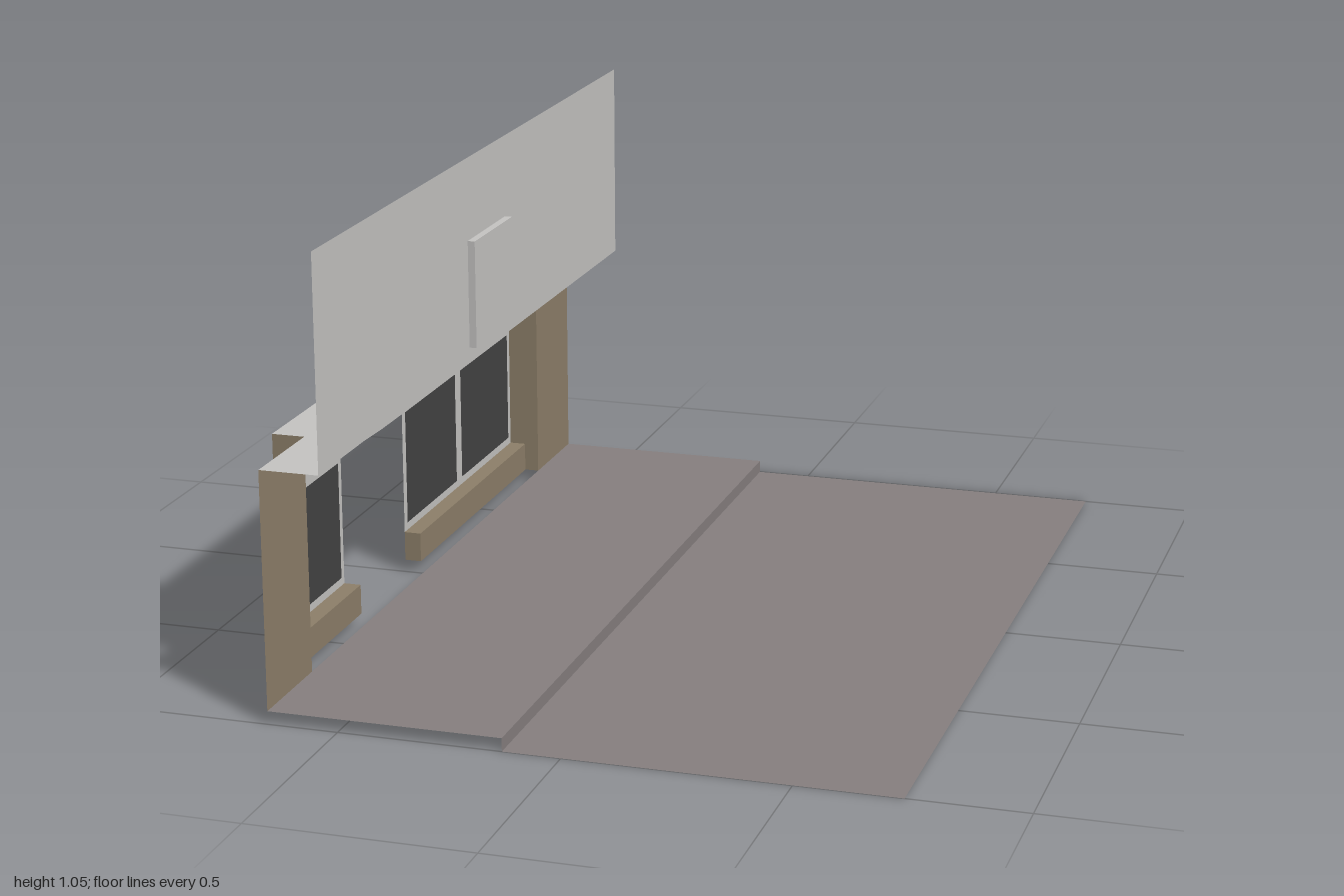
import * as THREE from 'three';

const flat = (name, color) => {
  const m = new THREE.MeshStandardMaterial({ color, side: THREE.DoubleSide });
  m.name = name;
  return m;
};

export function createModel() {
  const group = new THREE.Group();
  const plaster = flat('light grey plaster', 0xc6c5c3);
  const stone = flat('brown stone', 0x8e806a);
  const paving = flat('grey paving', 0x878080);
  const glass = flat('dark glass', 0x444444);

  // Main levels and planes
  const base = 0.03, eave = 0.57, top = 1.05;
  const bayX = -0.735, flankX = -0.66, upperX = -0.525, kerbX = -0.13, streetX = 0.735;
  const bayZ = 0.755;

  const add = (name, geometry, material) => {
    const mesh = new THREE.Mesh(geometry, material);
    mesh.name = name;
    group.add(mesh);
    return mesh;
  };
  const toShape = (pts) => new THREE.Shape(pts.map(([a, b]) => new THREE.Vector2(a, b)));
  const rect = (a0, a1, b0, b1) => [[a0, b0], [a1, b0], [a1, b1], [a0, b1]];

  // Sheet standing in the z-y plane at a given x
  const sideSheet = (name, pts, x, material, holes = []) => {
    const shape = toShape(pts);
    shape.holes = holes.map(toShape);
    const g = new THREE.ShapeGeometry(shape).rotateY(-Math.PI / 2).translate(x, 0, 0);
    return add(name, g, material);
  };
  // Sheet lying in the x-z plane at a given height, facing up
  const flatSheet = (name, pts, y, material) => {
    const g = new THREE.ShapeGeometry(toShape(pts.map(([x, z]) => [x, -z])));
    return add(name, g.rotateX(-Math.PI / 2).translate(0, y, 0), material);
  };
  const box = (name, x0, x1, y0, y1, z0, z1, material) => {
    const g = new THREE.BoxGeometry(x1 - x0, y1 - y0, z1 - z0);
    return add(name, g.translate((x0 + x1) / 2, (y0 + y1) / 2, (z0 + z1) / 2), material);
  };

  // Ground: raised pavement, kerb and lower street
  flatSheet('pavement', rect(flankX, kerbX, -1, 1), base, paving);
  sideSheet('kerb', rect(-1, 1, 0, base), kerbX, paving);
  flatSheet('street', rect(kerbX, streetX, -1, 1), 0, paving);

  // Flanking walls with the returns that run out to the bay
  for (const s of [-1, 1]) {
    const z0 = Math.min(s * bayZ, s), z1 = Math.max(s * bayZ, s);
    sideSheet('flankWall', rect(z0, z1, base, eave), flankX, stone);
    const ret = new THREE.PlaneGeometry(flankX - bayX, eave - base);
    ret.translate((flankX + bayX) / 2, (eave + base) / 2, s * bayZ);
    add('wallReturn', ret, stone);
  }

  // Low walls under the windows, either side of the doorway
  box('lowWall', bayX, -0.695, base, 0.1, 0.38, bayZ - 0.001, stone);
  box('lowWall', bayX, -0.695, base, 0.1, -bayZ + 0.001, 0, stone);

  // Bay front with doorway notch and window openings
  const windows = [[0.396, 0.734], [-0.358, -0.021], [-0.738, -0.396]]
    .map(([a, b]) => rect(a, b, 0.118, 0.394));
  sideSheet('bayFront', [
    [-bayZ, 0.1], [0, 0.1], [0, 0.395], [0.13, 0.396], [0.38, 0.405],
    [0.38, 0.1], [bayZ, 0.1], [bayZ, eave], [-bayZ, eave],
  ], bayX, plaster, windows);
  windows.forEach((w) => sideSheet('windowPane', w, bayX, glass));

  // Ledge over the bay and flanks
  flatSheet('ledge', [
    [upperX, -1], [upperX, 1], [flankX, 1], [flankX, bayZ],
    [bayX, bayZ], [bayX, -bayZ], [flankX, -bayZ], [flankX, -1],
  ], eave, plaster);

  // Upper wall and its blank sign panel
  sideSheet('upperWall', rect(-1, 1, eave, top), upperX, plaster);
  box('signPanel', -0.512, -0.495, 0.612, 0.865, -0.125, 0.127, plaster);

  return group;
}
